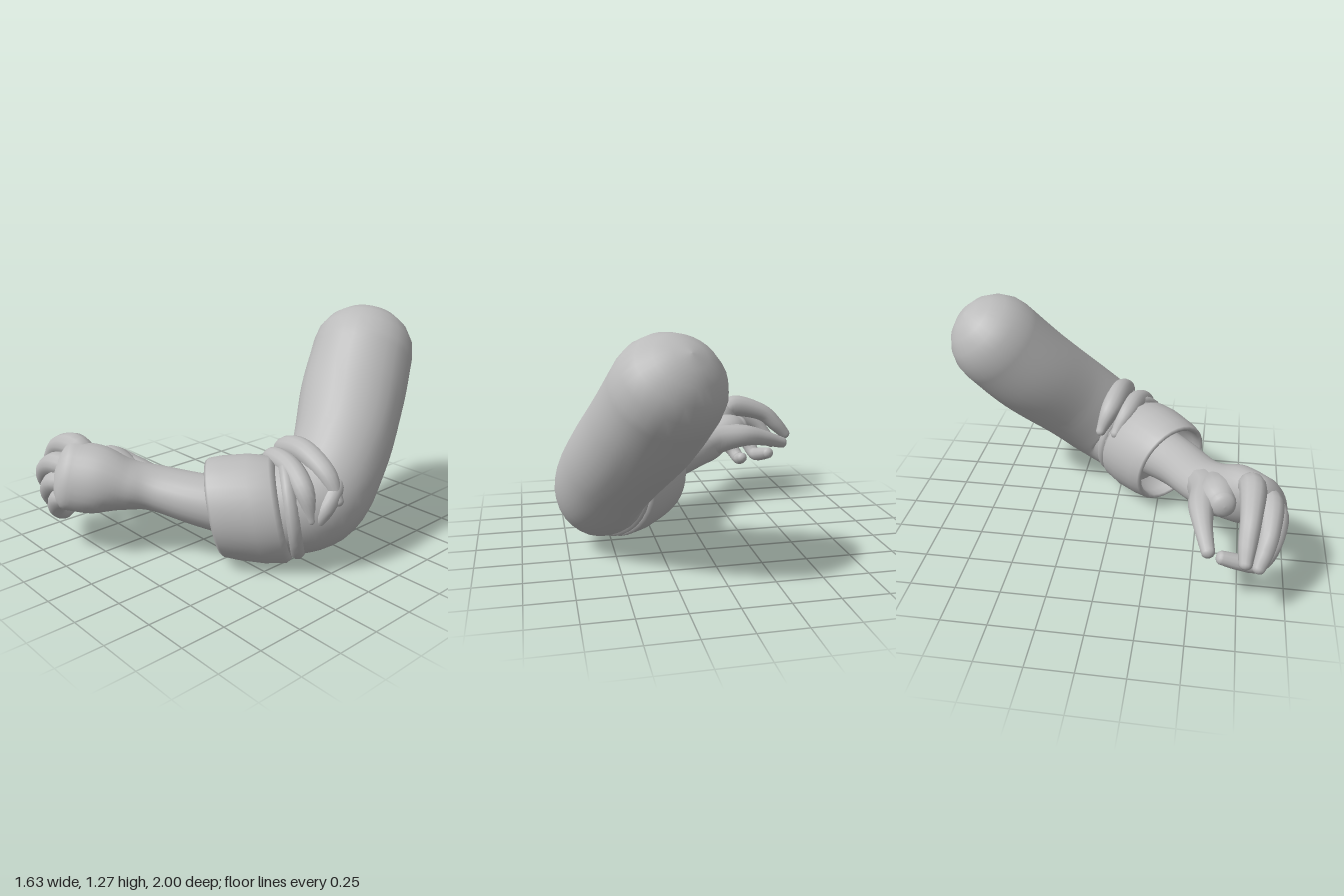
import * as THREE from 'three';

const grey = new THREE.MeshStandardMaterial({ color: 0xbbbbbb });
grey.name = 'plain grey';

// Smooth closed tube through stations [x, y, z, halfHeight, halfWidth, tilt], with domed ends.
function loft(name, stations, { steps = 24, sides = 20, domeStart = 0.03, domeEnd = 0.03 } = {}) {
  const path = new THREE.CatmullRomCurve3(stations.map(s => new THREE.Vector3(s[0], s[1], s[2])), false, 'catmullrom');
  const size = new THREE.CatmullRomCurve3(
    stations.map(s => new THREE.Vector3(s[3], s[4] ?? s[3], s[5] ?? 0)), false, 'catmullrom');
  const rings = [];
  const domeSteps = 5;
  for (let k = 0; k < domeSteps; k++) {
    const q = (1 - k / domeSteps) * Math.PI / 2;
    rings.push([0, Math.max(Math.cos(q), 0.001), -Math.sin(q) * domeStart]);
  }
  for (let i = 0; i <= steps; i++) rings.push([i / steps, 1, 0]);
  for (let k = 1; k <= domeSteps; k++) {
    const q = k / domeSteps * Math.PI / 2;
    rings.push([1, Math.max(Math.cos(q), 0.001), Math.sin(q) * domeEnd]);
  }
  const pos = [], index = [];
  rings.forEach(([t, scale, shift], i) => {
    const T = path.getTangent(t);
    const c = path.getPoint(t).addScaledVector(T, shift);
    const r = size.getPoint(t);
    const U = new THREE.Vector3(0, 1, 0).addScaledVector(T, -T.y).normalize().applyAxisAngle(T, r.z);
    const S = new THREE.Vector3().crossVectors(T, U);
    for (let j = 0; j < sides; j++) {
      const a = j / sides * Math.PI * 2;
      const p = c.clone()
        .addScaledVector(U, Math.cos(a) * r.x * scale)
        .addScaledVector(S, Math.sin(a) * r.y * scale);
      pos.push(p.x, p.y, p.z);
      if (i < rings.length - 1) {
        const n = (j + 1) % sides, A = i * sides, B = A + sides;
        index.push(A + j, A + n, B + j, A + n, B + n, B + j);
      }
    }
  });
  const g = new THREE.BufferGeometry();
  g.setAttribute('position', new THREE.Float32BufferAttribute(pos, 3));
  g.setIndex(index);
  g.computeVertexNormals();
  const mesh = new THREE.Mesh(g, grey);
  mesh.name = name;
  return mesh;
}

// Revolved band placed along an axis, narrowed sideways, its upper side slanted forwards.
function band(name, profile, centre, axis, narrow, slant) {
  const g = new THREE.LatheGeometry(profile.map(p => new THREE.Vector2(...p)), 32);
  const T = new THREE.Vector3(...axis).normalize();
  const U = new THREE.Vector3(0, 1, 0).addScaledVector(T, -T.y).normalize();
  const S = new THREE.Vector3().crossVectors(T, U);
  const shear = new THREE.Matrix4().set(narrow, 0, 0, 0, 0, 1, slant, 0, 0, 0, 1, 0, 0, 0, 0, 1);
  g.applyMatrix4(shear);
  g.applyMatrix4(new THREE.Matrix4().makeBasis(S, T, U).setPosition(...centre));
  const mesh = new THREE.Mesh(g, grey);
  mesh.name = name;
  return mesh;
}

export function createModel() {
  const model = new THREE.Group();
  model.name = 'bentArm';

  // Sleeve from the rounded shoulder, round the elbow, into the cuff
  model.add(loft('sleeve', [
    [0.29, 1.0, -0.73, 0.275, 0.29],
    [0.375, 0.79, -0.555, 0.278, 0.295],
    [0.5, 0.55, -0.325, 0.268, 0.27],
    [0.56, 0.36, -0.115, 0.265, 0.25],
    [0.48, 0.31, 0.05, 0.26, 0.245],
    [0.37, 0.3, 0.17, 0.245, 0.225],
  ], { steps: 36, sides: 28, domeStart: 0.265, domeEnd: 0.02 }));

  // Turned-back cuff, hollow at the front
  model.add(band('cuff', [
    [0.2, -0.05], [0.265, -0.045], [0.288, -0.015], [0.295, 0.1], [0.282, 0.24], [0.268, 0.31],
    [0.255, 0.325], [0.238, 0.315], [0.235, 0.26], [0.235, 0.12], [0.05, 0.1],
  ], [0.43, 0.296, 0.105], [-0.7, 0.0, 0.68], 0.93, 0.2));

  // Rolled fold just behind the cuff
  model.add(band('rolledFold', [
    [0.22, -0.08], [0.258, -0.07], [0.28, -0.045], [0.28, -0.02], [0.262, 0.0], [0.22, 0.01],
  ], [0.465, 0.308, 0.07], [-0.66, 0, 0.72], 0.93, 0.15));

  // Creases bunched over the inside of the elbow
  const creases = [
    [[0.25, 0.46, -0.11, 0.03], [0.33, 0.575, -0.06, 0.06], [0.5, 0.61, -0.03, 0.065],
      [0.68, 0.54, -0.01, 0.055], [0.765, 0.42, -0.01, 0.03]],
    [[0.25, 0.45, -0.02, 0.03], [0.34, 0.55, 0.04, 0.055], [0.51, 0.55, 0.08, 0.06],
      [0.65, 0.47, 0.12, 0.055], [0.7, 0.33, 0.12, 0.03]],
    [[0.62, 0.56, -0.09, 0.02], [0.72, 0.49, -0.04, 0.045], [0.735, 0.38, 0.05, 0.045], [0.68, 0.23, 0.11, 0.02]],
  ];
  creases.forEach(c => model.add(loft('sleeveCrease', c, { sides: 14 })));

  // Forearm, wrist and palm in one skin
  model.add(loft('forearmAndPalm', [
    [0.36, 0.295, 0.21, 0.165, 0.165],
    [0.15, 0.335, 0.375, 0.14, 0.153],
    [-0.07, 0.375, 0.515, 0.122, 0.148, 0.05],
    [-0.18, 0.395, 0.63, 0.14, 0.15, 0.2],
    [-0.27, 0.43, 0.755, 0.185, 0.14, 0.4],
    [-0.36, 0.46, 0.875, 0.188, 0.105, 0.5],
  ], { steps: 32, sides: 24, domeEnd: 0.085 }));

  // Web of flesh between thumb and index finger
  model.add(loft('thumbWeb', [
    [-0.15, 0.4, 0.6, 0.1], [-0.34, 0.455, 0.62, 0.11], [-0.44, 0.475, 0.645, 0.07],
  ], { domeEnd: 0.04 }));

  // Thumb and curled fingers
  const digits = {
    thumb: [[-0.02, 0.37, 0.48, 0.09], [-0.24, 0.42, 0.555, 0.1], [-0.42, 0.44, 0.535, 0.073],
      [-0.56, 0.415, 0.55, 0.052], [-0.71, 0.365, 0.585, 0.036]],
    indexFinger: [[-0.33, 0.53, 0.76, 0.06], [-0.43, 0.585, 0.79, 0.072], [-0.62, 0.535, 0.785, 0.056],
      [-0.72, 0.45, 0.775, 0.048], [-0.79, 0.375, 0.77, 0.035]],
    middleFinger: [[-0.33, 0.48, 0.85, 0.06], [-0.45, 0.505, 0.89, 0.066], [-0.6, 0.435, 0.885, 0.053],
      [-0.67, 0.36, 0.865, 0.047], [-0.72, 0.3, 0.84, 0.035]],
    ringFinger: [[-0.3, 0.42, 0.88, 0.055], [-0.42, 0.42, 0.93, 0.06], [-0.545, 0.32, 0.91, 0.05],
      [-0.595, 0.23, 0.85, 0.044], [-0.62, 0.25, 0.75, 0.043], [-0.635, 0.28, 0.655, 0.037]],
    littleFinger: [[-0.28, 0.36, 0.89, 0.05], [-0.365, 0.345, 0.94, 0.056], [-0.45, 0.255, 0.92, 0.047],
      [-0.485, 0.2, 0.86, 0.043], [-0.495, 0.215, 0.8, 0.035]],
  };
  for (const [name, stations] of Object.entries(digits)) {
    model.add(loft(name, stations, { steps: 20, sides: 12, domeEnd: 0.028 }));
  }
  return model;
}
